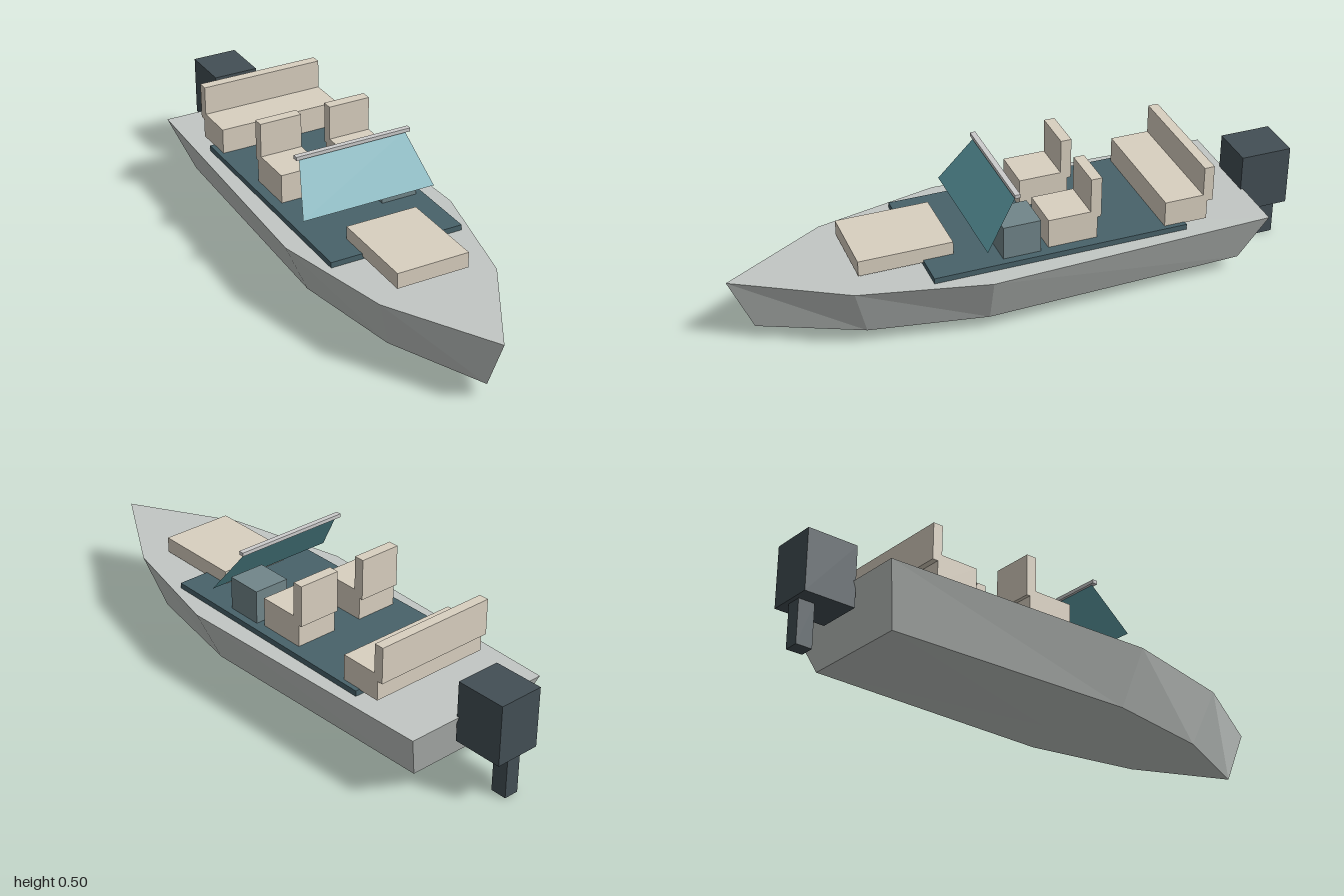
import * as THREE from 'three';

const paint = (color, extra = {}) =>
  new THREE.MeshStandardMaterial({ color, flatShading: true, ...extra });

const hullPaint = paint(0xc2c7c4);
const floorPaint = paint(0x48626a);
const cushion = paint(0xd9d0c0);
const motorPaint = paint(0x434f55);
const consolePaint = paint(0x71868a);
const railPaint = paint(0xc4c8c8);
const glass = paint(0x5f9fa8, { side: THREE.DoubleSide });

// Box given by its extents along each axis
function box(name, material, [x0, x1], [y0, y1], [z0, z1]) {
  const mesh = new THREE.Mesh(new THREE.BoxGeometry(x1 - x0, y1 - y0, z1 - z0), material);
  mesh.position.set((x0 + x1) / 2, (y0 + y1) / 2, (z0 + z1) / 2);
  mesh.name = name;
  return mesh;
}

// Hull: the deck outline, a smaller chine outline below it, and a shallow keel point
function hull() {
  const outline = [[0, 1], [0.215, 0.63], [0.316, 0.19], [0.28, -0.825],
    [-0.28, -0.825], [-0.316, 0.19], [-0.215, 0.63]];
  const n = outline.length;
  const positions = [];
  outline.forEach(([x, z]) => positions.push(x, 0.245, z));
  outline.forEach(([x, z]) => positions.push(x * 0.724, 0.052, z * 0.918));
  positions.push(0, 0.245, 0.03, 0, 0.019, 0.03);
  const deckCentre = 2 * n, keel = 2 * n + 1;
  const index = [];
  for (let i = 0; i < n; i++) {
    const j = (i + 1) % n;
    index.push(i, n + i, n + j, i, n + j, j); // side
    index.push(deckCentre, i, j);             // deck
    index.push(keel, n + j, n + i);           // bottom
  }
  const geometry = new THREE.BufferGeometry();
  geometry.setAttribute('position', new THREE.Float32BufferAttribute(positions, 3));
  geometry.setIndex(index);
  const flat = geometry.toNonIndexed();
  flat.computeVertexNormals();
  const mesh = new THREE.Mesh(flat, hullPaint);
  mesh.name = 'hull';
  return mesh;
}

// Seat with a raised backrest behind it
function seat(name, x, zFront, zBase, zBack, yBase, ySeat, yTop, thickness) {
  const group = new THREE.Group();
  group.name = name;
  group.add(
    box('seatBase', cushion, x, [yBase, ySeat], [zBase, zFront]),
    box('backrest', cushion, x, [ySeat - 0.025, yTop], [zBack, zBack + thickness]),
  );
  return group;
}

// Raked windshield, wider at its foot
function windshield() {
  const geometry = new THREE.PlaneGeometry(1, 1);
  const p = geometry.attributes.position;
  for (let i = 0; i < p.count; i++) {
    const top = p.getY(i) > 0;
    p.setXYZ(i, p.getX(i) * (top ? 0.4 : 0.496), top ? 0.487 : 0.323, top ? 0.07 : 0.187);
  }
  geometry.computeVertexNormals();
  const mesh = new THREE.Mesh(geometry, glass);
  mesh.name = 'windshield';
  return mesh;
}

export function createModel() {
  const boat = new THREE.Group();
  boat.name = 'motorboat';
  boat.add(
    hull(),
    box('cockpitFloor', floorPaint, [-0.245, 0.245], [0.244, 0.265], [-0.53, 0.37]),
    box('bowPad', cushion, [-0.131, 0.131], [0.256, 0.312], [0.265, 0.592]),
    seat('rearBench', [-0.228, 0.228], -0.455, -0.61, -0.63, 0.262, 0.357, 0.462, 0.036),
    box('console', consolePaint, [0.086, 0.218], [0.262, 0.385], [-0.01, 0.122]),
    windshield(),
    box('windshieldRail', railPaint, [-0.215, 0.215], [0.487, 0.5], [0.061, 0.08]),
  );

  // Pair of front seats
  for (const [name, x] of [['leftSeat', [0.055, 0.21]], ['rightSeat', [-0.21, -0.055]]]) {
    boat.add(seat(name, x, -0.04, -0.215, -0.228, 0.267, 0.372, 0.496, 0.038));
  }

  // Outboard motor on the transom
  const motor = new THREE.Group();
  motor.name = 'outboardMotor';
  motor.add(
    box('motorCowl', motorPaint, [-0.083, 0.083], [0.154, 0.372], [-1, -0.816]),
    box('motorLeg', motorPaint, [-0.027, 0.027], [0, 0.156], [-0.985, -0.926]),
  );
  boat.add(motor);
  return boat;
}
